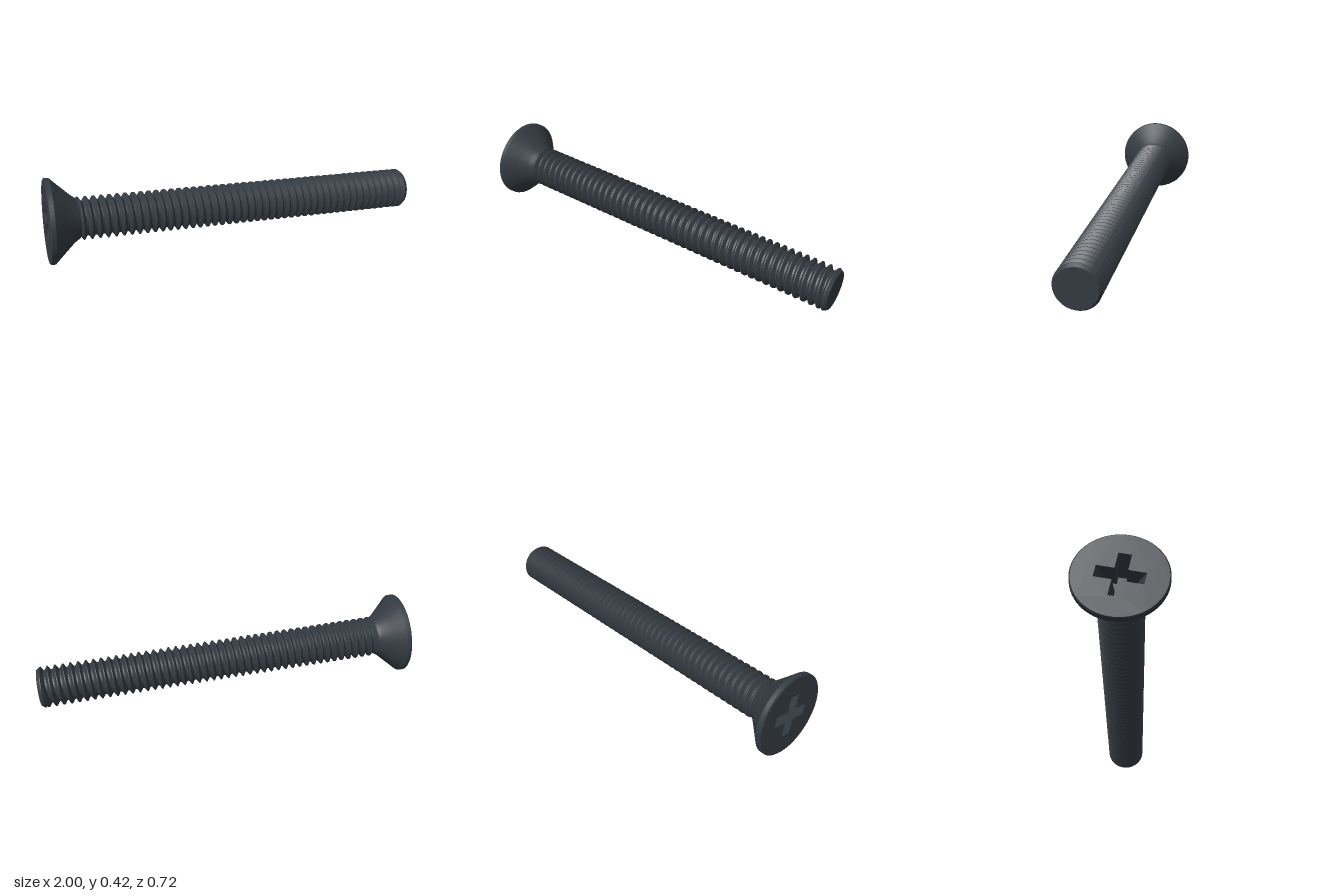
import * as THREE from 'three';
import { toCreasedNormals } from 'three/addons/utils/BufferGeometryUtils.js';

const LENGTH = 1.976, HEAD_R = 0.212, FACE_R = 0.206;
const CREST = 0.108, ROOT = 0.087, PITCH = 0.04;
const SEGMENTS = 64;

// Solid of revolution with sharp edges kept
function lathe(points) {
  const profile = points.map(([r, y]) => new THREE.Vector2(r, y));
  return toCreasedNormals(new THREE.LatheGeometry(profile, SEGMENTS), 0.4);
}

// Outline of a plus sign, counter-clockwise
function crossOutline(arm, half) {
  const points = [];
  for (let q = 0; q < 4; q++) {
    for (const [x, y] of [[arm, -half], [arm, half], [half, half]]) {
      points.push(new THREE.Vector2(x, y).rotateAround(new THREE.Vector2(), q * Math.PI / 2));
    }
  }
  return points;
}

// Sloping walls between the mouth and the floor of the recess
function recessWalls(top, bottom, depth) {
  const pos = [];
  top.forEach((t, i) => {
    const j = (i + 1) % top.length, t2 = top[j], b = bottom[i], b2 = bottom[j];
    pos.push(t.x, t.y, 0, t2.x, t2.y, 0, b2.x, b2.y, -depth);
    pos.push(t.x, t.y, 0, b2.x, b2.y, -depth, b.x, b.y, -depth);
  });
  const g = new THREE.BufferGeometry();
  g.setAttribute('position', new THREE.Float32BufferAttribute(pos, 3));
  g.computeVertexNormals();
  return g;
}

// Right-handed helical thread: root flat, rising flank, crest flat, falling flank
function threadGeometry(start, end) {
  const phases = [0, 0.2, 0.54, 0.66];
  const radius = (u) => {
    if (u < 0.2) return ROOT;
    if (u < 0.54) return ROOT + (CREST - ROOT) * (u - 0.2) / 0.34;
    if (u < 0.66) return CREST;
    return CREST - (CREST - ROOT) * (u - 0.66) / 0.34;
  };
  const rows = (Math.ceil((end - start) / PITCH) + 2) * 4;
  const pos = [], index = [];
  for (let i = 0; i <= rows; i++) {
    for (let j = 0; j <= SEGMENTS; j++) {
      const turn = j / SEGMENTS, a = turn * Math.PI * 2;
      const raw = start + PITCH * (Math.floor(i / 4) + phases[i % 4] + turn - 1);
      const s = THREE.MathUtils.clamp(raw, start, end);
      const u = s === raw ? phases[i % 4]
        : THREE.MathUtils.euclideanModulo((s - start) / PITCH - turn, 1);
      const r = radius(u);
      pos.push(r * Math.sin(a), s, r * Math.cos(a));
    }
  }
  const w = SEGMENTS + 1;
  for (let i = 0; i < rows; i++) {
    for (let j = 0; j < SEGMENTS; j++) {
      const a = i * w + j, c = a + w;
      index.push(a, a + 1, c, a + 1, c + 1, c);
    }
  }
  const g = new THREE.BufferGeometry();
  g.setAttribute('position', new THREE.Float32BufferAttribute(pos, 3));
  g.setIndex(index);
  return toCreasedNormals(g, 0.5);
}

export function createModel() {
  const steel = new THREE.MeshStandardMaterial({ color: 0x343b42 });
  steel.name = 'blackened steel';

  const model = new THREE.Group();
  model.name = 'screw';
  const add = (name, geometry) => {
    const mesh = new THREE.Mesh(geometry, steel);
    mesh.name = name;
    model.add(mesh);
  };

  // Countersunk head
  add('head', lathe([
    [FACE_R, 0], [HEAD_R, 0.005], [HEAD_R, 0.026],
    [0.16, 0.08], [0.118, 0.125], [0.106, 0.142], [0.1, 0.152], [ROOT, 0.165],
  ]));

  // Flat head face with a tapered cross recess
  const depth = 0.1;
  const mouth = crossOutline(0.108, 0.029), floor = crossOutline(0.055, 0.02);
  const face = new THREE.Shape().absarc(0, 0, FACE_R, 0, Math.PI * 2, false);
  face.holes.push(new THREE.Path([...mouth, mouth[0]].reverse()));
  add('headFace', new THREE.ShapeGeometry(face, SEGMENTS).rotateX(Math.PI / 2));
  add('recessWalls', recessWalls(mouth, floor, depth).rotateX(Math.PI / 2));
  add('recessFloor', new THREE.ShapeGeometry(new THREE.Shape(floor))
    .rotateX(Math.PI / 2).translate(0, depth, 0));

  // Threaded shank and chamfered tip
  add('thread', threadGeometry(0.145, LENGTH - 0.026));
  add('tip', lathe([
    [ROOT - 0.002, LENGTH - 0.034], [CREST, LENGTH - 0.02], [CREST, LENGTH - 0.016],
    [0.097, LENGTH], [0, LENGTH],
  ]));

  // Lay the screw down so that it rests on its head rim and tip
  const axis = new THREE.Vector3(1.93, -0.101, 0.41).normalize();
  model.quaternion.setFromUnitVectors(new THREE.Vector3(0, 1, 0), axis);
  model.position.set(-0.955, 0.212, -0.154);

  const root = new THREE.Group();
  root.name = 'machineScrew';
  root.add(model);
  return root;
}
